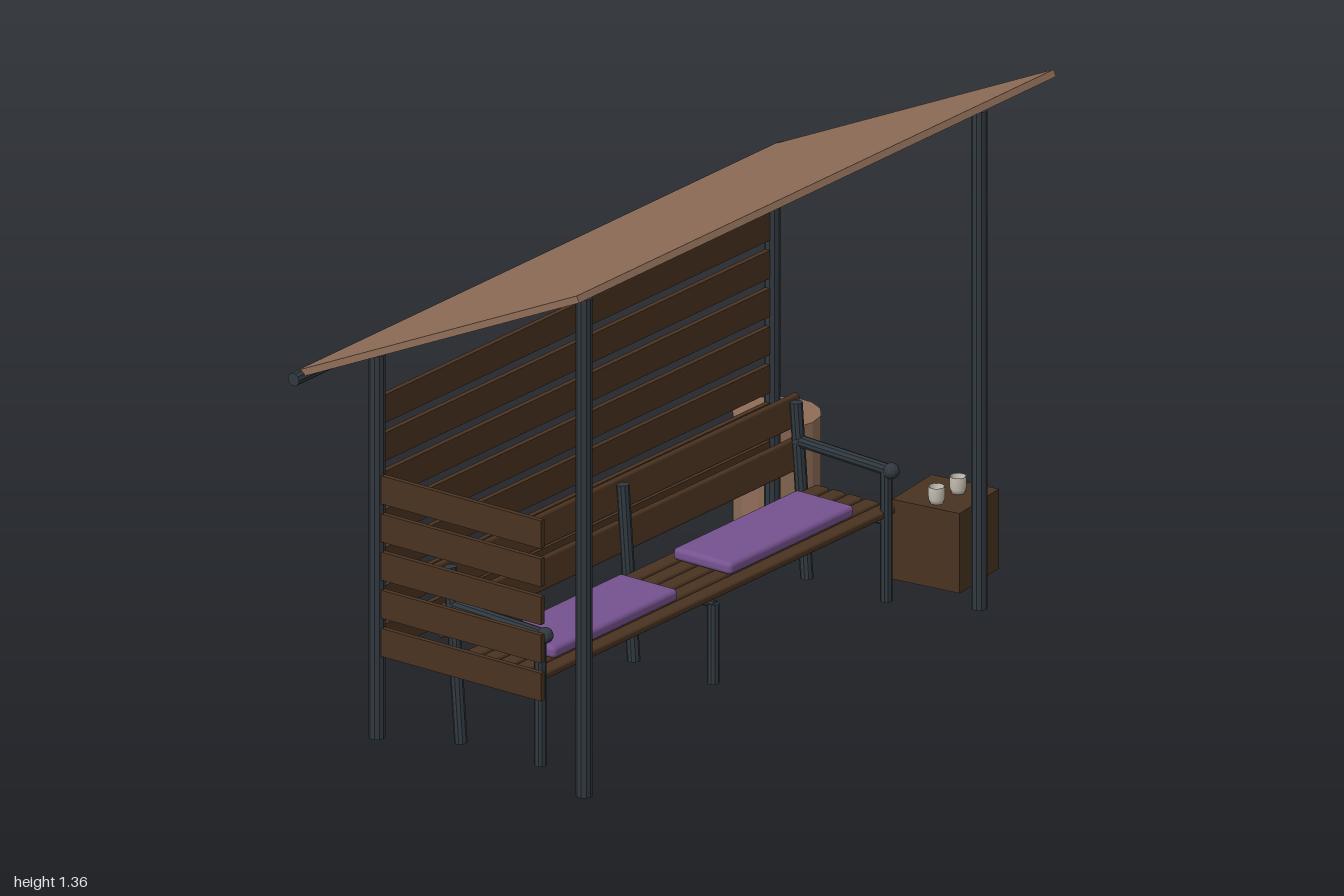
import * as THREE from 'three';
import { RoundedBoxGeometry } from 'three/addons/geometries/RoundedBoxGeometry.js';

const mat = (name, color) => {
  const m = new THREE.MeshStandardMaterial({ color });
  m.name = name;
  return m;
};

export function createModel() {
  const model = new THREE.Group();
  model.name = 'gardenShelter';

  const roofWood = mat('roofWood', 0x8f6d57);
  const darkWood = mat('darkWood', 0x4a3321);
  const steel = mat('steel', 0x30383f);
  const chainMetal = mat('chainMetal', 0x22262a);
  const fabric = mat('purpleFabric', 0x76528f);
  const ceramic = mat('ceramic', 0xc4beb2);
  const lightStrip = mat('lightStrip', 0xd9b877);
  [roofWood, steel].forEach((m) => { m.flatShading = true; });

  const add = (name, geo, material, x, y, z, parent = model) => {
    const mesh = new THREE.Mesh(geo, material);
    mesh.name = name;
    mesh.position.set(x, y, z);
    parent.add(mesh);
    return mesh;
  };
  const box = (name, w, h, d, material, x, y, z, parent) =>
    add(name, new THREE.BoxGeometry(w, h, d), material, x, y, z, parent);
  // Round bar between two points
  const bar = (name, a, b, r, parent = model) => {
    const from = new THREE.Vector3(...a), to = new THREE.Vector3(...b);
    const dir = to.clone().sub(from);
    const mid = from.clone().add(to).multiplyScalar(0.5);
    const mesh = add(name, new THREE.CylinderGeometry(r, r, dir.length(), 10), steel, mid.x, mid.y, mid.z, parent);
    mesh.quaternion.setFromUnitVectors(new THREE.Vector3(0, 1, 0), dir.normalize());
    return mesh;
  };

  // Four posts
  const postX = [-0.815, 0.733];
  for (const x of postX) {
    bar('frontPost', [x, 0, 0.365], [x, 1.28, 0.365], 0.02);
    bar('backPost', [x, 0, -0.26], [x, 0.985, -0.26], 0.02);
  }

  // Sloping roof, gutter and light strip under the roof
  const slope = Math.atan2(0.392, 0.84);
  const roof = box('roof', 1.868, 0.018, 0.927, roofWood, -0.041, 1.154, 0.05);
  roof.rotation.x = -slope;
  bar('gutter', [-1, 0.95, -0.37], [0.915, 0.95, -0.37], 0.017);
  const strip = box('lightStrip', 1.425, 0.006, 0.012, lightStrip, -0.043, 1.257, 0.302);
  strip.rotation.x = -slope;

  // Back and side screens
  const screen = new THREE.Group();
  screen.name = 'slatScreens';
  model.add(screen);
  for (let i = 0; i < 7; i++) {
    const y = 0.25 + i * 0.098;
    box('backSlat', 1.548, 0.072, 0.014, darkWood, -0.041, y, -0.26, screen);
    if (i < 5) box('sideSlat', 0.014, 0.072, 0.5, darkWood, -0.815, y, -0.01, screen);
  }

  // Bench frame
  const bench = new THREE.Group();
  bench.name = 'bench';
  model.add(bench);
  const frameX = [-0.72, -0.043, 0.635];
  frameX.forEach((x, i) => {
    const hasArm = i !== 1;
    bar('backLeg', [x, 0, -0.08], [x, 0.445, -0.113], 0.016, bench);
    bar('frontLeg', [x, 0, 0.16], [x, hasArm ? 0.335 : 0.205, 0.16], 0.015, bench);
    bar('seatSupport', [x, 0.203, 0.165], [x, 0.203, -0.095], 0.01, bench);
    if (hasArm) {
      bar('armRest', [x, 0.337, 0.175], [x, 0.348, -0.105], 0.015, bench);
      add('armKnob', new THREE.SphereGeometry(0.02, 12, 8), steel, x, 0.337, 0.175, bench);
      add('armJoint', new THREE.SphereGeometry(0.017, 12, 8), steel, x, 0.348, -0.105, bench);
    }
  });

  // Bench slats
  for (let i = 0; i < 5; i++) {
    add('seatSlat', new RoundedBoxGeometry(1.425, 0.02, 0.042, 2, 0.007), darkWood, -0.043, 0.223, 0.142 - i * 0.05, bench);
  }
  for (const [y, z] of [[0.31, -0.12], [0.415, -0.131]]) {
    const slat = add('backrestSlat', new RoundedBoxGeometry(1.425, 0.08, 0.018, 2, 0.007), darkWood, -0.043, y, z, bench);
    slat.rotation.x = -0.14;
  }

  // Seat cushions
  for (const x of [-0.383, 0.307]) {
    add('cushion', new RoundedBoxGeometry(0.488, 0.032, 0.176, 3, 0.012), fabric, x, 0.249, 0.042, bench);
  }

  // Side table with two cups
  const table = box('sideTable', 0.187, 0.205, 0.187, darkWood, 0.86, 0.1025, 0.165);
  table.rotation.y = 0.13;
  const cupProfile = [[0, 0], [0.016, 0], [0.02, 0.012], [0.021, 0.042], [0.018, 0.042], [0.016, 0.01], [0, 0.008]]
    .map(([x, y]) => new THREE.Vector2(x, y));
  for (const x of [0.803, 0.887]) {
    add('cup', new THREE.LatheGeometry(cupProfile, 16), ceramic, x, 0.205, 0.182);
  }

  // Rain barrel and the bead chain leading into it
  add('rainBarrel', new THREE.CylinderGeometry(0.108, 0.108, 0.276, 14), roofWood, 0.893, 0.138, -0.37);
  for (let i = 0; i < 12; i++) {
    add('chainBead', new THREE.SphereGeometry(0.01, 10, 8), chainMetal, 0.893, 0.886 - i * 0.054, -0.37);
  }

  return model;
}
